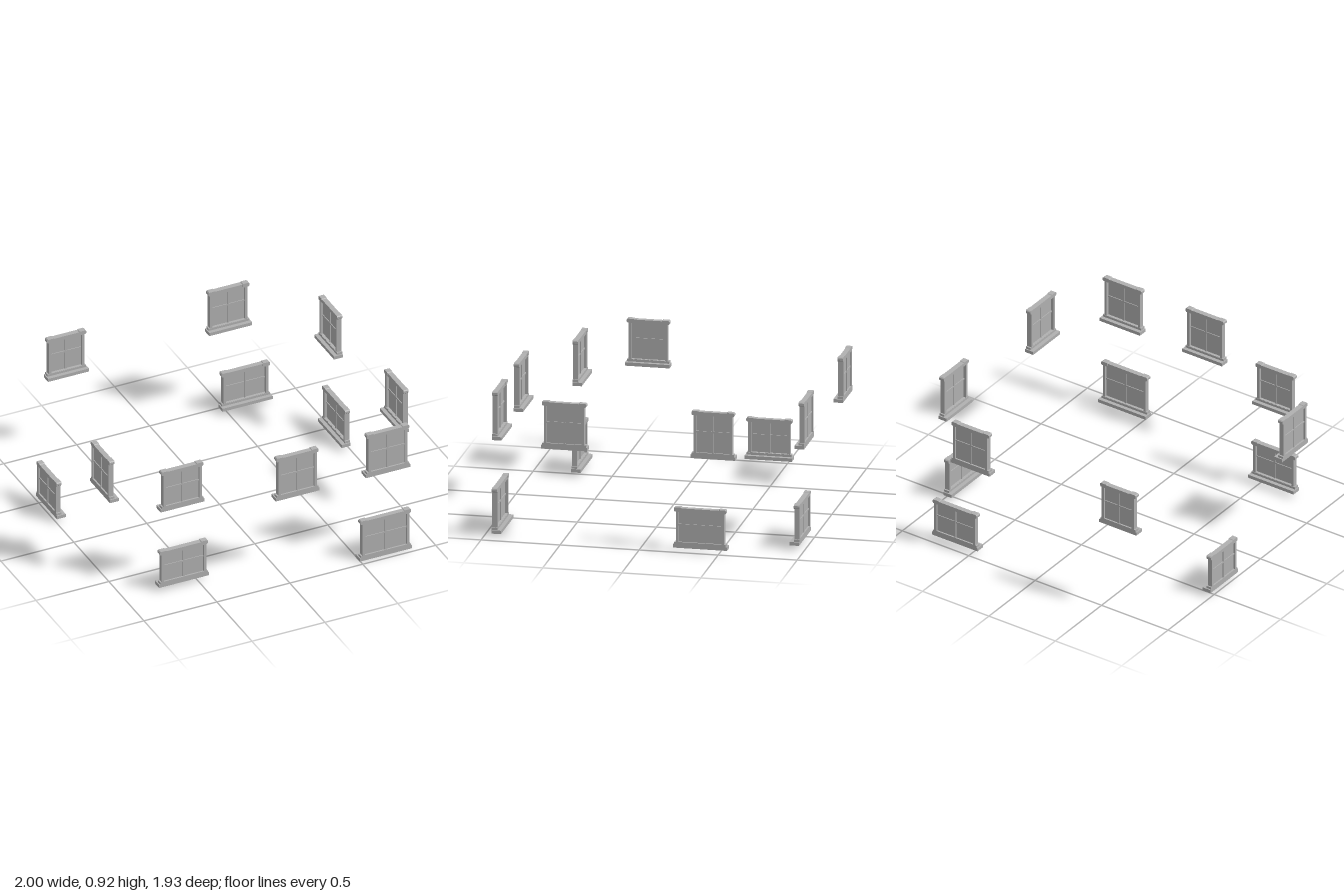
import * as THREE from 'three';

const grey = new THREE.MeshStandardMaterial({ color: 0xb0b0b0 });
grey.name = 'stoneGrey';

const DEPTH = 0.033; // casing thickness
const SILL_DEPTH = 0.06;

function add(group, name, geometry, x, y, z) {
  const mesh = new THREE.Mesh(geometry, grey);
  mesh.name = name;
  mesh.position.set(x, y, z);
  group.add(mesh);
}

// box from its centre x, bottom y and back z
function block(group, name, w, h, d, x, y, z) {
  add(group, name, new THREE.BoxGeometry(w, h, d), x, y + h / 2, z + d / 2);
}

// rectangle traced around x = 0
function trace(path, half, y0, y1) {
  path.moveTo(-half, y0);
  path.lineTo(half, y0);
  path.lineTo(half, y1);
  path.lineTo(-half, y1);
  path.closePath();
  return path;
}

// end block of the head, with chamfered corners
function earGeometry(w, h, d) {
  const c = 0.006;
  const s = new THREE.Shape();
  s.moveTo(-w / 2 + c, 0);
  s.lineTo(w / 2 - c, 0);
  s.lineTo(w / 2, c);
  s.lineTo(w / 2, h - c);
  s.lineTo(w / 2 - c, h);
  s.lineTo(-w / 2 + c, h);
  s.lineTo(-w / 2, h - c);
  s.lineTo(-w / 2, c);
  s.closePath();
  return new THREE.ExtrudeGeometry(s, { depth: d, bevelEnabled: false });
}

// one window: the flat side is at z = 0 and the sill projects to +z
function createWindow(half, height) {
  const g = new THREE.Group();
  g.name = 'window';
  const body = half - 0.018;
  const open = half - 0.035;
  const bottom = 0.038;
  const top = height - 0.028;
  const mid = (bottom + top) / 2 + 0.014;

  // casing with its opening
  const casing = trace(new THREE.Shape(), body, 0.02, height - 0.004);
  casing.holes.push(trace(new THREE.Path(), open, bottom, top));
  add(g, 'casing', new THREE.ExtrudeGeometry(casing, { depth: DEPTH, bevelEnabled: false }), 0, 0, 0);

  // head ears and stepped sill
  for (const side of [-1, 1]) {
    add(g, 'headEar', earGeometry(0.05, 0.026, DEPTH + 0.002), side * (half - 0.031), height - 0.026, 0);
  }
  block(g, 'sill', half * 2, 0.022, SILL_DEPTH, 0, 0, 0);
  block(g, 'sillStep', half * 2 - 0.016, 0.016, DEPTH + 0.002, 0, 0.021, 0);

  // pane and glazing bars
  block(g, 'pane', open * 2, top - bottom, 0.006, 0, bottom, 0.01);
  block(g, 'uprightBar', 0.01, top - bottom, 0.018, 0, bottom, 0.004);
  block(g, 'crossBar', open * 2, 0.01, 0.016, 0, mid - 0.005, 0.005);
  return g;
}

// walls: direction the sill faces, and plane of the flat side
const walls = [
  // [name, turn, place(c), [[centre along wall, base, half width, height], ...]]
  ['front', Math.PI, c => [c, 0.966], [
    [0.07, 0.60, 0.15, 0.31], [0.69, 0.60, 0.152, 0.31], [0.675, 0, 0.179, 0.29]]],
  ['frontRecess', Math.PI, c => [c, 0.744], [
    [-0.612, 0.58, 0.15, 0.29], [-0.602, 0.03, 0.171, 0.26]]],
  ['back', 0, c => [c, -0.968], [
    [-0.6, 0.58, 0.14, 0.29], [0.512, 0.61, 0.147, 0.30], [0.628, 0.03, 0.172, 0.26]]],
  ['right', Math.PI / 2, c => [-1, c], [
    [0.375, 0.583, 0.141, 0.297], [-0.39, 0.03, 0.15, 0.26]]],
  ['left', -Math.PI / 2, c => [1, c], [
    [0.475, 0.615, 0.146, 0.305], [-0.466, 0.615, 0.141, 0.305], [-0.385, 0.03, 0.171, 0.26]]],
];

export function createModel() {
  const model = new THREE.Group();
  model.name = 'windowSet';
  for (const [name, turn, place, windows] of walls) {
    for (const [centre, base, half, height] of windows) {
      const w = createWindow(half, height);
      const [x, z] = place(centre);
      w.name = name + 'Window';
      w.position.set(x, base, z);
      w.rotation.y = turn;
      model.add(w);
    }
  }
  return model;
}
